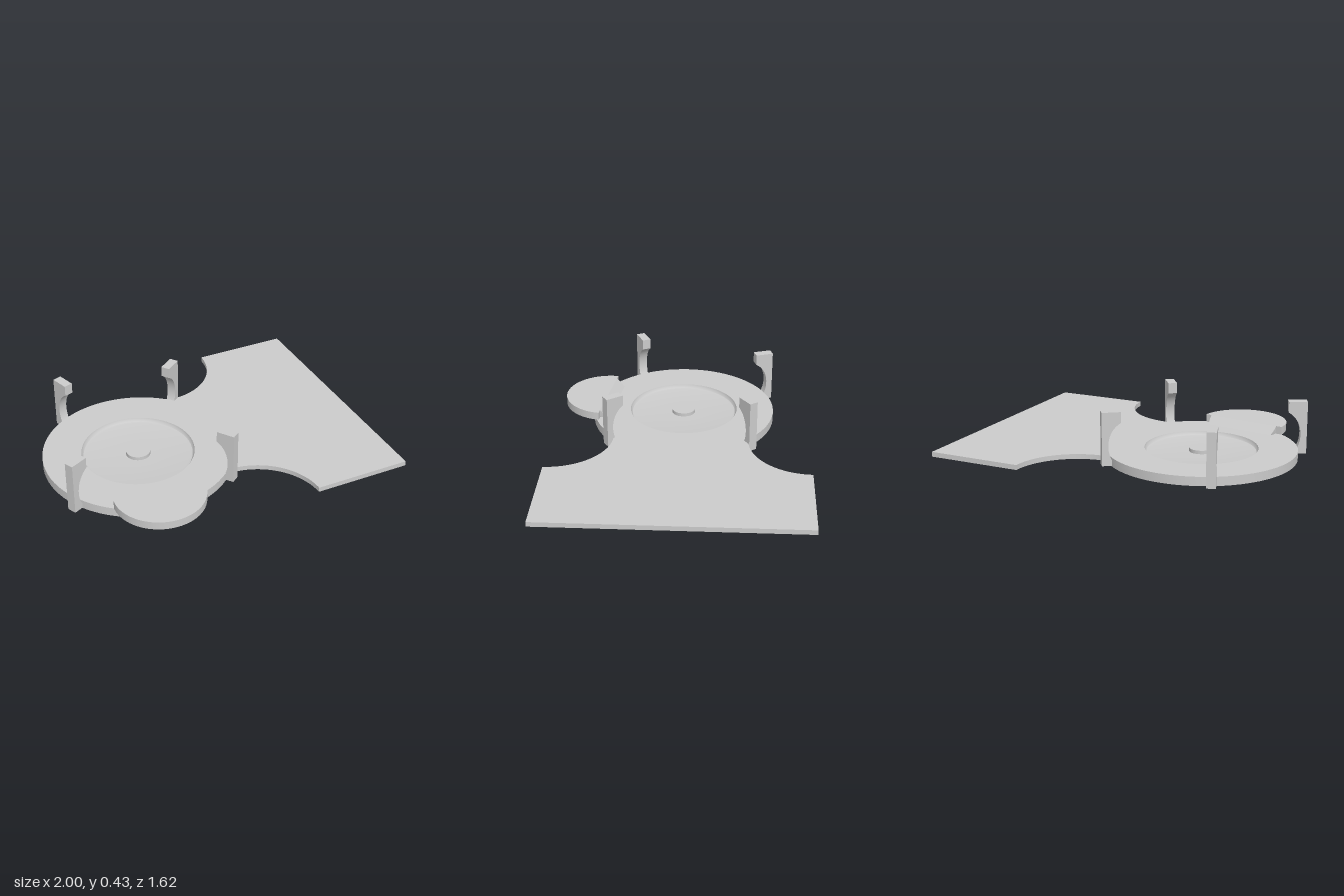
import * as THREE from 'three';
import { toCreasedNormals } from 'three/addons/utils/BufferGeometryUtils.js';

const material = new THREE.MeshStandardMaterial({ color: 0xcccccc });
const CX = -0.415; // centre of the round dish
const TOP = 0.16; // common top surface

function addMesh(parent, name, geometry) {
  const mesh = new THREE.Mesh(toCreasedNormals(geometry, 0.5), material);
  mesh.name = name;
  parent.add(mesh);
  return mesh;
}

// Extrudes an (x, z) outline downward from y = 0
function slab(shape, thickness) {
  return new THREE.ExtrudeGeometry(shape, { depth: thickness, bevelEnabled: false, curveSegments: 48 })
    .rotateX(Math.PI / 2);
}

function halfDisc(radius, start) {
  const s = new THREE.Shape();
  s.absarc(0, 0, radius, start, start + Math.PI, false);
  s.closePath();
  return s;
}

export function createModel() {
  const model = new THREE.Group();

  // Round dish with a shallow recess and a central boss
  const profile = [
    [0, 0.105], [0.585, 0.105], [0.585, TOP], [0.347, TOP], [0.343, 0.147],
    [0.335, 0.138], [0.32, 0.135], [0.075, 0.135], [0.075, 0.157], [0, 0.157],
  ].map(([r, y]) => new THREE.Vector2(r, y));
  addMesh(model, 'dish', new THREE.LatheGeometry(profile, 80)).position.x = CX;

  // Flat plate with two scooped corners, meeting the rim of the dish
  const plate = new THREE.Shape();
  const rim = 0.81;
  plate.moveTo(1, -0.81);
  plate.lineTo(1, 0.81);
  plate.lineTo(0.395, 0.81);
  plate.absarc(0.005, 0.81, 0.39, 0, -Math.PI / 2 - 0.03, true);
  plate.absarc(CX, 0, 0.582, rim, -rim, true);
  plate.absarc(0.02, -0.81, 0.385, Math.PI / 2 + 0.05, 0, true);
  addMesh(model, 'plate', slab(plate, 0.03)).position.y = TOP;

  // Hooked upright clips: outer end (x, z) and inward direction (dx, dz)
  const hook = new THREE.Shape();
  hook.moveTo(0, 0.11);
  hook.lineTo(0.062, 0.11);
  hook.lineTo(0.062, 0.14);
  hook.bezierCurveTo(0.025, 0.2, 0.025, 0.32, 0.114, 0.37);
  hook.lineTo(0.114, 0.437);
  hook.lineTo(0, 0.437);
  hook.closePath();
  const clips = [
    [-0.717, -0.57, 0.035, 0.105],
    [0.037, -0.452, -0.088, 0.065],
    [-0.972, 0.325, 0.102, -0.05],
    [0.017, 0.468, -0.067, -0.093],
  ];
  for (const [x, z, dx, dz] of clips) {
    const geometry = new THREE.ExtrudeGeometry(hook, { depth: 0.056, bevelEnabled: false, curveSegments: 16 })
      .translate(0, 0, -0.028);
    const clip = addMesh(model, 'clip', geometry);
    clip.position.set(x, 0, z);
    clip.rotation.y = Math.atan2(-dz, dx);
  }

  // Bent thumb tab: a flat outer half and an inner half sloping down through the dish
  const tab = new THREE.Group();
  tab.name = 'thumbTab';
  tab.position.set(-0.492, 0.21, 0.502);
  tab.rotation.y = -0.136;
  addMesh(tab, 'tabOuterHalf', slab(halfDisc(0.275, 0), 0.05));
  addMesh(tab, 'tabInnerHalf', slab(halfDisc(0.237, Math.PI), 0.062)).rotation.x = -0.75;
  model.add(tab);

  return model;
}
